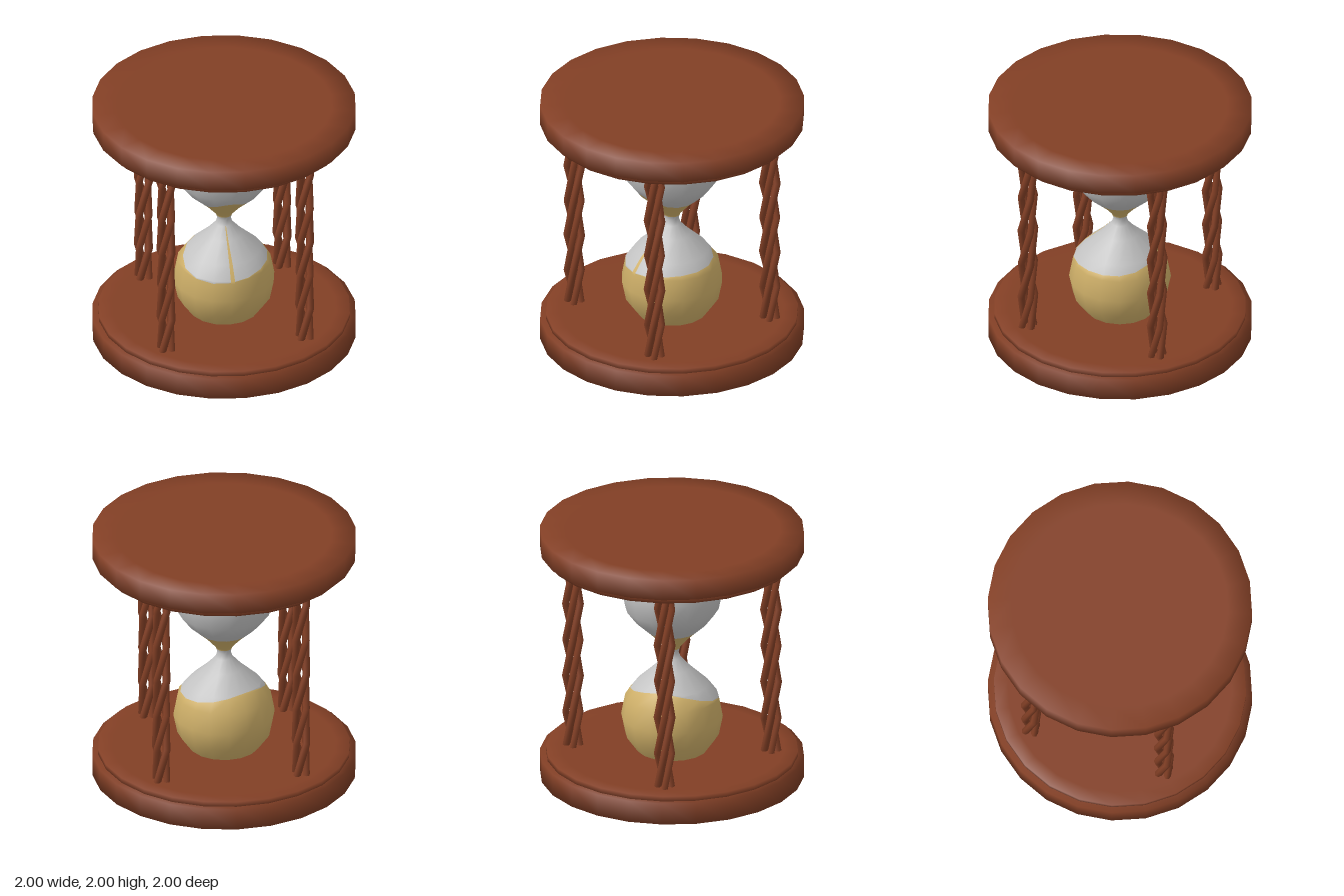
import * as THREE from 'three';

const material = (name, color) => {
  const m = new THREE.MeshStandardMaterial({ color });
  m.name = name;
  return m;
};

// Glass profile as [radius, height], from bottom to top
const lower = [[0.255, 0.19], [0.355, 0.33], [0.385, 0.48], [0.355, 0.64], [0.28, 0.74], [0.14, 0.87], [0.065, 0.955]];
const profile = [...lower, [0.05, 1], ...lower.map(([r, y]) => [r, 2 - y]).reverse()];

function radiusAt(y) {
  for (let i = 1; i < profile.length; i++) {
    const [r0, y0] = profile[i - 1], [r1, y1] = profile[i];
    if (y <= y1) return r0 + (r1 - r0) * (y - y0) / (y1 - y0);
  }
  return profile[profile.length - 1][0];
}

// Strip of the glass surface between two heights that may vary with the angle
function glassBand(low, high, from = 0, to = Math.PI * 2, segments = 16, lift = 0) {
  const pos = [], index = [];
  const closed = to - from > 6;
  const columns = closed ? segments : segments + 1;
  for (const [, py] of profile) {
    for (let j = 0; j < columns; j++) {
      const a = from + (to - from) * j / segments;
      const y = Math.min(Math.max(py, low(a)), high(a));
      const r = radiusAt(y) + lift;
      pos.push(Math.sin(a) * r, y, Math.cos(a) * r);
    }
  }
  for (let i = 0; i < profile.length - 1; i++) {
    for (let j = 0; j < segments; j++) {
      const a = i * columns + j, b = i * columns + (j + 1) % columns;
      index.push(a, b, b + columns, a, b + columns, a + columns);
    }
  }
  const g = new THREE.BufferGeometry();
  g.setAttribute('position', new THREE.Float32BufferAttribute(pos, 3));
  g.setIndex(index);
  g.computeVertexNormals();
  return g;
}

// One strand of a twisted post: a quarter turn for each segment
class Strand extends THREE.Curve {
  constructor(phase) {
    super();
    this.phase = phase;
  }
  getPoint(t, target = new THREE.Vector3()) {
    const a = this.phase + t * Math.PI * 3;
    return target.set(Math.sin(a) * 0.055, 0.185 + t * 1.77, Math.cos(a) * 0.055);
  }
}

export function createModel() {
  const wood = material('brown wood', 0x823f25);
  const glass = material('grey glass', 0xc2c2c2);
  const sand = material('golden sand', 0xcfb069);
  const model = new THREE.Group();
  model.name = 'hourglass';

  const add = (name, geometry, mat, parent = model) => {
    const mesh = new THREE.Mesh(geometry, mat);
    mesh.name = name;
    parent.add(mesh);
    return mesh;
  };
  const disc = (name, points) =>
    add(name, new THREE.LatheGeometry(points.map(([x, y]) => new THREE.Vector2(x, y)), 24), wood);

  // End plates, each with a shallow inner step
  disc('basePlate', [[0, 0], [0.82, 0], [1, 0], [1, 0.17], [0.9, 0.17], [0, 0.17]]);
  disc('baseStep', [[0, 0.16], [0.955, 0.16], [0.955, 0.21], [0.85, 0.21], [0, 0.21]]);
  disc('topPlate', [[0, 1.84], [0.9, 1.84], [1, 1.84], [1, 2], [0.82, 2], [0, 2]]);
  disc('topStep', [[0, 1.795], [0.85, 1.795], [0.955, 1.795], [0.955, 1.85], [0, 1.85]]);

  // Glass and sand share one surface, divided at the sand levels
  const pile = a => 0.6825 - 0.045 * Math.cos(a) + 0.03 * Math.sin(a) - 0.0225 * Math.cos(2 * a + Math.PI);
  const rest = a => 1.18 + 0.11 * Math.max(0, Math.cos(a + 0.75)) ** 6;
  const neck = () => 1.03;
  add('lowerSand', glassBand(() => 0.19, pile), sand);
  add('lowerGlass', glassBand(pile, neck), glass);
  add('upperSand', glassBand(neck, rest), sand);
  add('upperGlass', glassBand(rest, () => 1.81), glass);

  // Thin trail of falling sand
  add('sandTrail', glassBand(() => 0.62, () => 0.96, -0.8, -0.71, 1, 0.003), sand);

  // Four posts, each twisted from four strands
  const strands = [0, 1, 2, 3].map(i =>
    new THREE.TubeGeometry(new Strand(i * Math.PI / 2), 6, 0.028, 6, false));
  for (let i = 0; i < 4; i++) {
    const post = new THREE.Group();
    post.name = 'twistedPost' + (i + 1);
    const a = i * Math.PI / 2;
    post.position.set(Math.sin(a) * 0.75, 0, Math.cos(a) * 0.75);
    strands.forEach((g, k) => add('strand' + (k + 1), g, wood, post));
    model.add(post);
  }
  return model;
}
